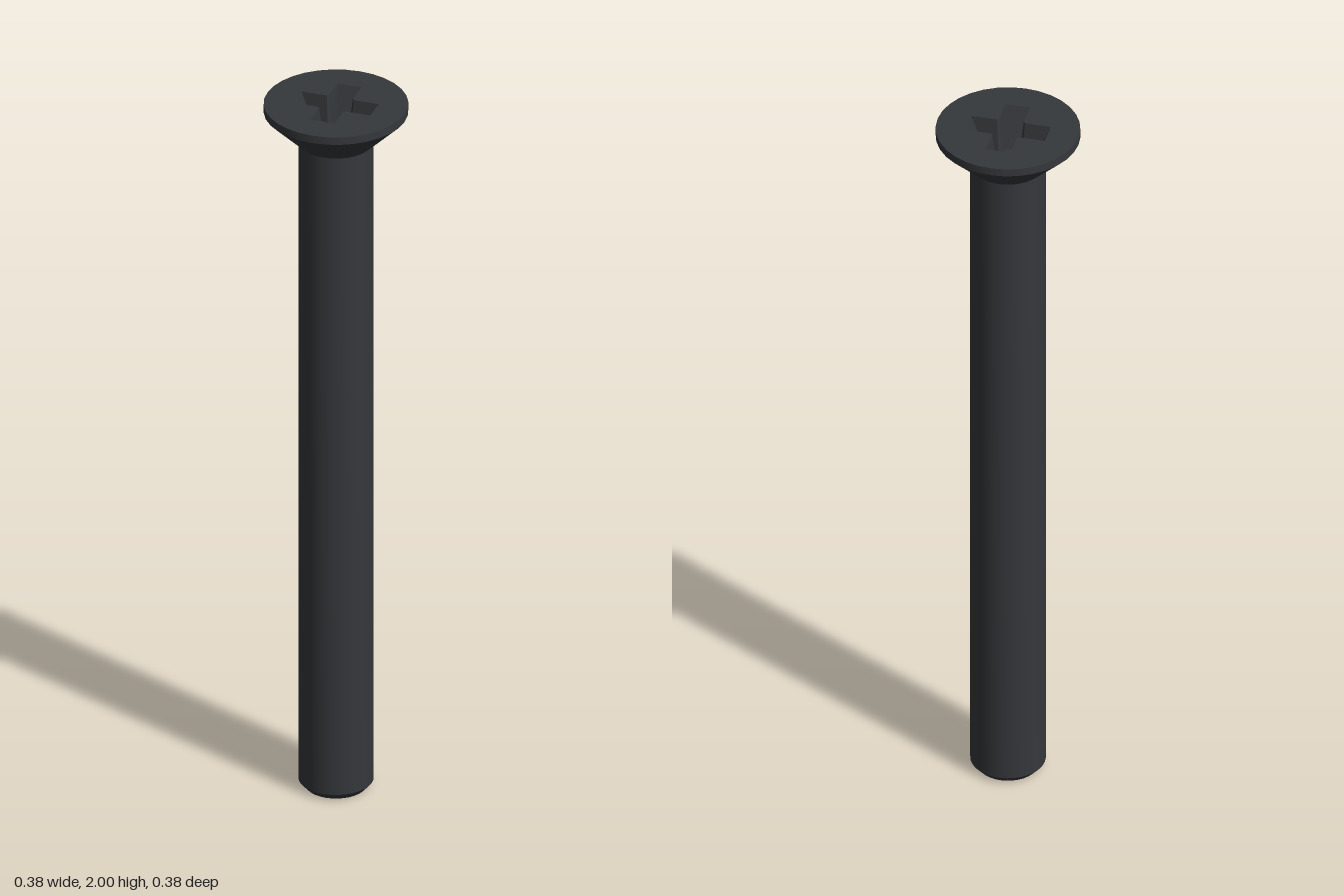
import * as THREE from 'three';
import { toCreasedNormals } from 'three/addons/utils/BufferGeometryUtils.js';

const SIDES = 32;
const HEAD_R = 0.188;
const TOP = 2;
const FLOOR = 1.89;

// Cross outline, counter-clockwise, with small chamfers in the inner corners
function crossPoints(reach, half, chamfer) {
  const pts = [];
  for (let i = 0; i < 4; i++) {
    const quarter = [
      [reach, half], [half + chamfer, half], [half, half + chamfer], [half, reach],
    ];
    for (const [x, y] of quarter) {
      pts.push(new THREE.Vector2(x, y).rotateAround(new THREE.Vector2(), i * Math.PI / 2));
    }
  }
  return pts;
}

function lathe(profile) {
  const pts = profile.map(([r, y]) => new THREE.Vector2(r, y));
  return toCreasedNormals(new THREE.LatheGeometry(pts, SIDES), 0.5);
}

// Horizontal face, looking up, at height y
function flatFace(outline, hole, y) {
  const shape = new THREE.Shape(outline);
  shape.holes.push(new THREE.Path(hole));
  return new THREE.ShapeGeometry(shape).rotateX(-Math.PI / 2).translate(0, y, 0);
}

function circlePoints(r) {
  return Array.from({ length: SIDES }, (_, i) => {
    const a = i / SIDES * Math.PI * 2;
    return new THREE.Vector2(r * Math.cos(a), r * Math.sin(a));
  });
}

// Tapered walls between two outlines, facing inward
function recessWalls(upper, lower) {
  const pos = [];
  upper.forEach((a, i) => {
    const j = (i + 1) % upper.length;
    const b = upper[j], c = lower[j], d = lower[i];
    for (const [p, y] of [[a, TOP], [b, TOP], [c, FLOOR], [a, TOP], [c, FLOOR], [d, FLOOR]]) {
      pos.push(p.x, y, -p.y);
    }
  });
  const g = new THREE.BufferGeometry();
  g.setAttribute('position', new THREE.Float32BufferAttribute(pos, 3));
  g.computeVertexNormals();
  return g;
}

export function createModel() {
  const screw = new THREE.Group();
  screw.name = 'countersunkScrew';
  const material = new THREE.MeshStandardMaterial({ color: 0x35383b });
  const add = (name, geometry) => {
    const mesh = new THREE.Mesh(geometry, material);
    mesh.name = name;
    screw.add(mesh);
  };

  const mouth = crossPoints(0.106, 0.033, 0.004);
  const base = crossPoints(0.062, 0.022, 0.008);

  // Shaft with chamfered tip
  add('shaft', lathe([[0, 0], [0.08, 0], [0.098, 0.02], [0.098, 1.89]]));

  // Countersunk head: cone, thin rim and top face
  add('head', lathe([[0.098, 1.89], [HEAD_R, 1.978], [HEAD_R, TOP]]));
  add('headTop', flatFace(circlePoints(HEAD_R), mouth, TOP));

  // Cross recess: tapered walls, floor and conical centre
  add('recessWalls', recessWalls(mouth, base));
  add('recessFloor', flatFace(base, circlePoints(0.035), FLOOR));
  add('recessCentre', lathe([[0.035, FLOOR], [0, FLOOR - 0.015]]));

  return screw;
}
